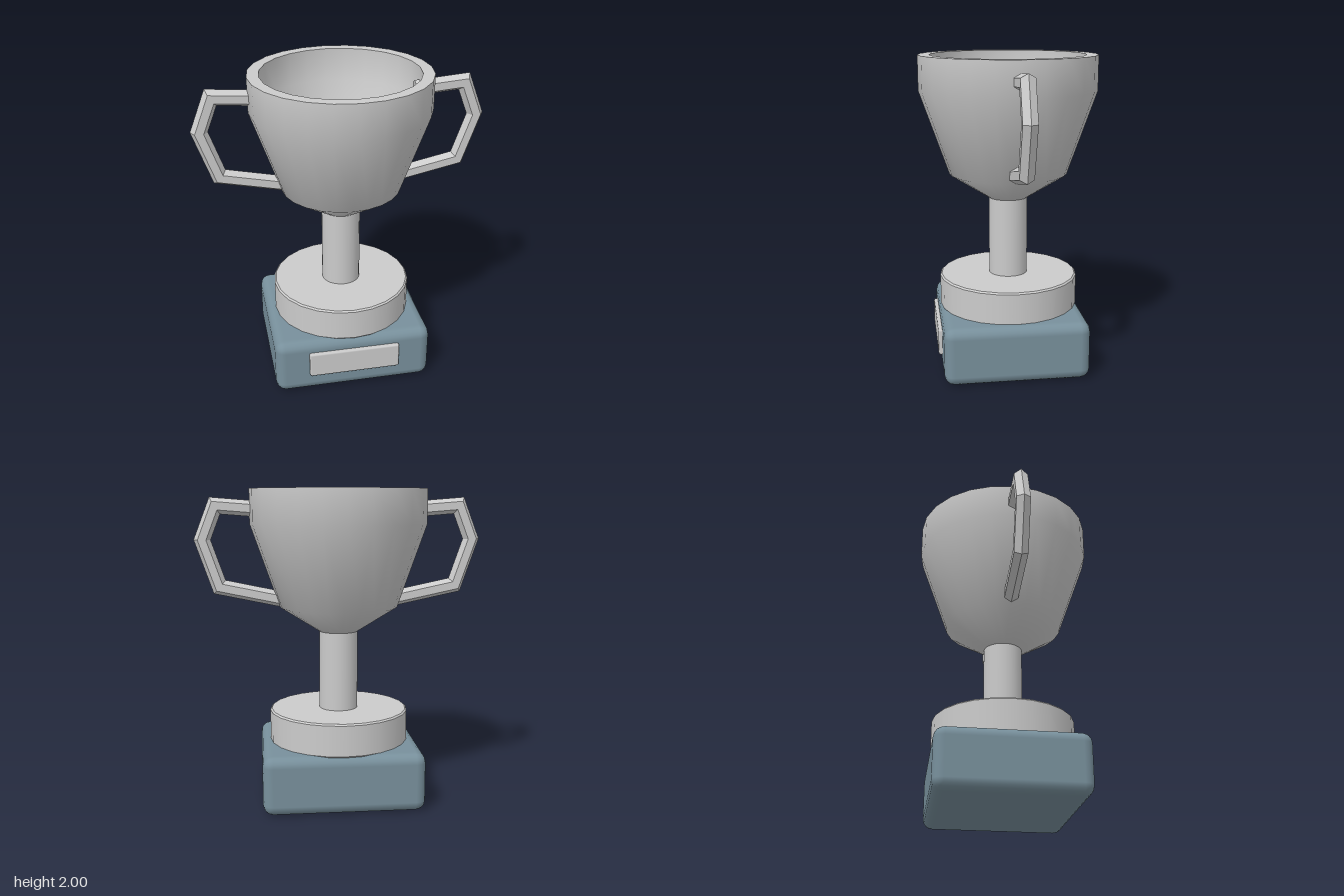
import * as THREE from 'three';
import { RoundedBoxGeometry } from 'three/addons/geometries/RoundedBoxGeometry.js';

const SIDES = 24;

export function createModel() {
  const trophy = new THREE.Group();
  trophy.name = 'trophy';
  const metal = new THREE.MeshStandardMaterial({ color: 0xcccccc });
  const facetedMetal = new THREE.MeshStandardMaterial({ color: 0xcccccc, flatShading: true });
  const plinthPaint = new THREE.MeshStandardMaterial({ color: 0x78909c });

  const add = (name, geometry, material, parent = trophy) => {
    const mesh = new THREE.Mesh(geometry, material);
    mesh.name = name;
    parent.add(mesh);
    return mesh;
  };

  // Each profile is a smooth run; a new run starts at every sharp edge
  const turned = (name, profiles) => {
    const group = new THREE.Group();
    group.name = name;
    profiles.forEach((profile, i) => {
      const points = profile.map(([r, y]) => new THREE.Vector2(r, y));
      add(`${name}Surface${i + 1}`, new THREE.LatheGeometry(points, SIDES), metal, group);
    });
    trophy.add(group);
  };

  // Closed cylinder with a narrow bevel at the top and bottom edges
  const bevelledDisc = (name, r, y0, y1, b) => turned(name, [
    [[0, y0], [r - b, y0]],
    [[r - b, y0], [r, y0 + b]],
    [[r, y0 + b], [r, y1 - b]],
    [[r, y1 - b], [r - b, y1]],
    [[r - b, y1], [0, y1]],
  ]);

  // Plinth and its front plate
  add('plinth', new RoundedBoxGeometry(1.02, 0.375, 0.92, 2, 0.065), plinthPaint)
    .position.set(0, 0.1875, 0);
  add('plaque', new RoundedBoxGeometry(0.59, 0.17, 0.05, 1, 0.012), metal)
    .position.set(0, 0.215, 0.46);

  // Foot and stem
  bevelledDisc('foot', 0.45, 0.365, 0.58, 0.01);
  bevelledDisc('stem', 0.125, 0.56, 1.16, 0.015);

  // Hollow cup: outside, rim, inside
  turned('cup', [
    [[0.12, 1.085], [0.38, 1.25], [0.565, 1.78], [0.565, 2]],
    [[0.565, 2], [0.492, 2]],
    [[0.492, 2], [0.492, 1.79], [0.325, 1.3], [0.11, 1.15]],
  ]);

  // Mirrored handles
  const path = [[0.465, 1.868], [0.78, 1.893], [0.863, 1.68], [0.76, 1.382], [0.37, 1.3]];
  for (const side of [1, -1]) {
    const points = path.map(([x, y]) => new THREE.Vector2(x * side, y));
    add(side > 0 ? 'leftHandle' : 'rightHandle', hexBar(points, 0.05, side), facetedMetal);
  }
  return trophy;
}

// Six-sided bar swept along a flat path with mitred corners and closed ends
function hexBar(points, radius, side) {
  const positions = [];
  const index = [];
  const n = 6;
  const last = points.length - 1;
  const normalOf = (a, b) => {
    const d = b.clone().sub(a).normalize();
    return new THREE.Vector2(-d.y, d.x);
  };
  points.forEach((p, i) => {
    const before = normalOf(points[Math.max(i - 1, 0)], points[Math.max(i, 1)]);
    const after = normalOf(points[Math.min(i, last - 1)], points[Math.min(i + 1, last)]);
    const miter = before.clone().add(after).normalize();
    miter.divideScalar(miter.dot(after));
    for (let k = 0; k < n; k++) {
      const a = (k / n) * Math.PI * 2;
      const offset = Math.cos(a) * radius * side;
      positions.push(p.x + miter.x * offset, p.y + miter.y * offset, Math.sin(a) * radius * side);
    }
  });
  for (let i = 0; i < last; i++) {
    for (let k = 0; k < n; k++) {
      const a = i * n + k;
      const b = i * n + (k + 1) % n;
      index.push(a, b, a + n, b, b + n, a + n);
    }
  }
  for (let k = 1; k < n - 1; k++) {
    index.push(0, k + 1, k);
    index.push(last * n, last * n + k, last * n + k + 1);
  }
  const geometry = new THREE.BufferGeometry();
  geometry.setAttribute('position', new THREE.Float32BufferAttribute(positions, 3));
  geometry.setIndex(index);
  geometry.computeVertexNormals();
  return geometry;
}
